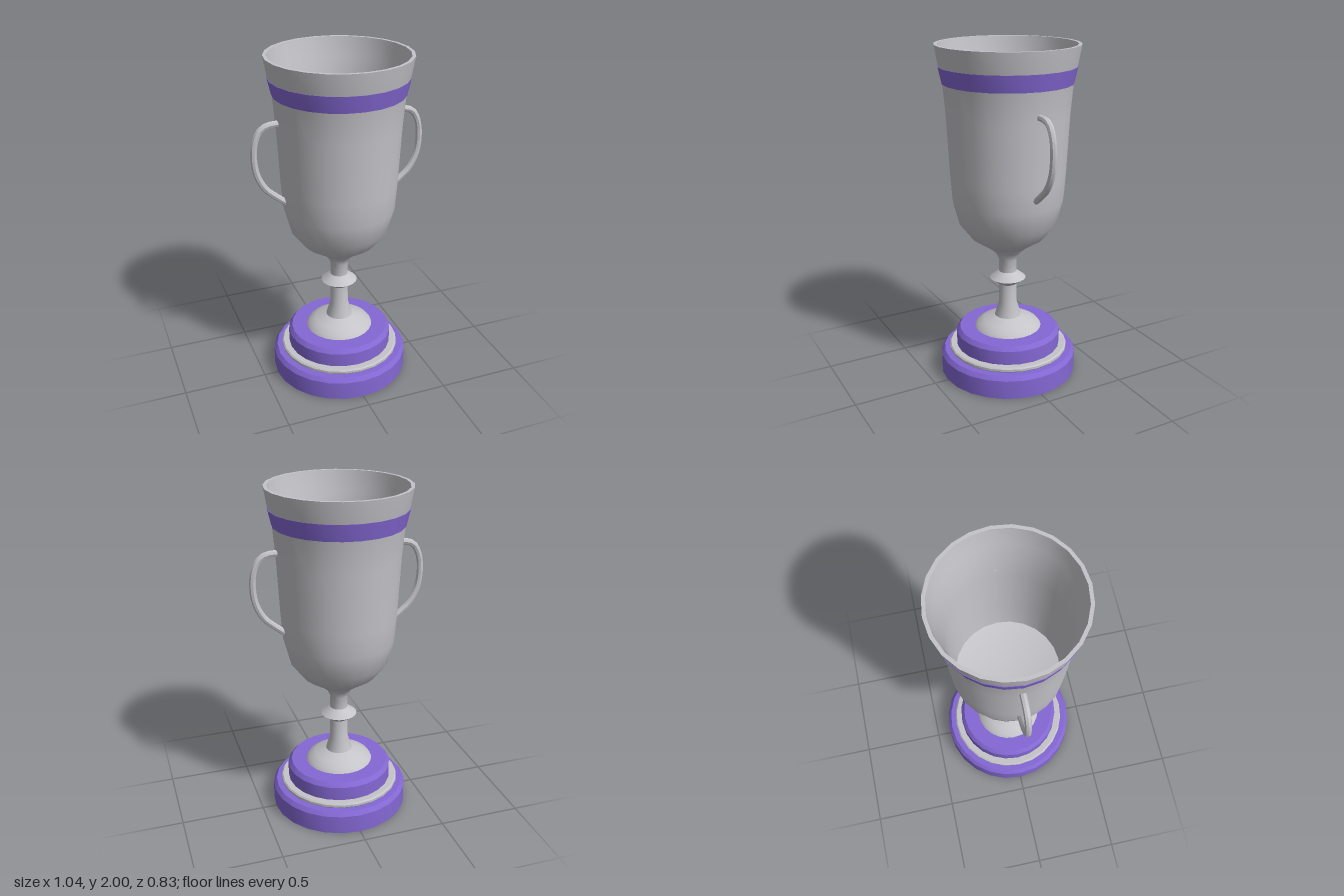
import * as THREE from 'three';
import { toCreasedNormals } from 'three/addons/utils/BufferGeometryUtils.js';

const SIDES = 24;

export function createModel() {
  const group = new THREE.Group();
  group.name = 'trophyCup';

  const silver = new THREE.MeshStandardMaterial({ color: 0xc4c4c9 });
  silver.name = 'silver';
  const purple = new THREE.MeshStandardMaterial({ color: 0x8468d4 });
  purple.name = 'purple';

  const add = (name, geometry, material) => {
    const mesh = new THREE.Mesh(toCreasedNormals(geometry, 0.6), material);
    mesh.name = name;
    group.add(mesh);
    return mesh;
  };
  // Turned part: profile of [radius, height] running up the outside
  const turned = (name, profile, material) =>
    add(name, new THREE.LatheGeometry(profile.map(([r, y]) => new THREE.Vector2(r, y)), SIDES), material);

  // Stepped plinth
  turned('lowerPlinth', [[0, 0], [0.415, 0], [0.415, 0.115], [0.395, 0.14], [0, 0.14]], purple);
  turned('plinthRing', [[0, 0.14], [0.355, 0.14], [0.363, 0.148], [0.363, 0.162], [0.355, 0.17], [0, 0.17]], silver);
  turned('upperPlinth', [[0, 0.165], [0.318, 0.165], [0.318, 0.255], [0.297, 0.28], [0, 0.28]], purple);

  // Foot, stem and knop
  turned('stem', [
    [0.205, 0.278], [0.19, 0.3], [0.15, 0.325], [0.08, 0.352], [0.055, 0.44], [0.053, 0.56],
    [0.108, 0.6], [0.053, 0.643], [0.053, 0.72], [0.075, 0.765], [0.13, 0.812],
  ], silver);

  // Hollow cup: outside, rim, inside wall and floor
  turned('cup', [
    [0, 0.805], [0.13, 0.81], [0.22, 0.87], [0.29, 0.96], [0.327, 1.1], [0.338, 1.25], [0.355, 1.6],
    [0.371, 1.79], [0.392, 1.88], [0.413, 2], [0.393, 2], [0.372, 1.88], [0.351, 1.79],
    [0.336, 1.6], [0.318, 1.25], [0.305, 1.06], [0, 0.98],
  ], silver);

  // Painted band
  turned('band', [[0.37, 1.785], [0.374, 1.785], [0.395, 1.88], [0.391, 1.88]], purple);

  // Pair of handles
  const path = [
    [0.338, 1.645], [0.4, 1.645], [0.452, 1.625], [0.488, 1.56], [0.5, 1.47],
    [0.486, 1.36], [0.44, 1.27], [0.38, 1.215], [0.325, 1.172],
  ];
  for (const [name, side] of [['leftHandle', 1], ['rightHandle', -1]]) {
    const curve = new THREE.CatmullRomCurve3(path.map(([x, y]) => new THREE.Vector3(side * x, y, 0)));
    add(name, new THREE.TubeGeometry(curve, 20, 0.019, 8), silver);
  }

  return group;
}
